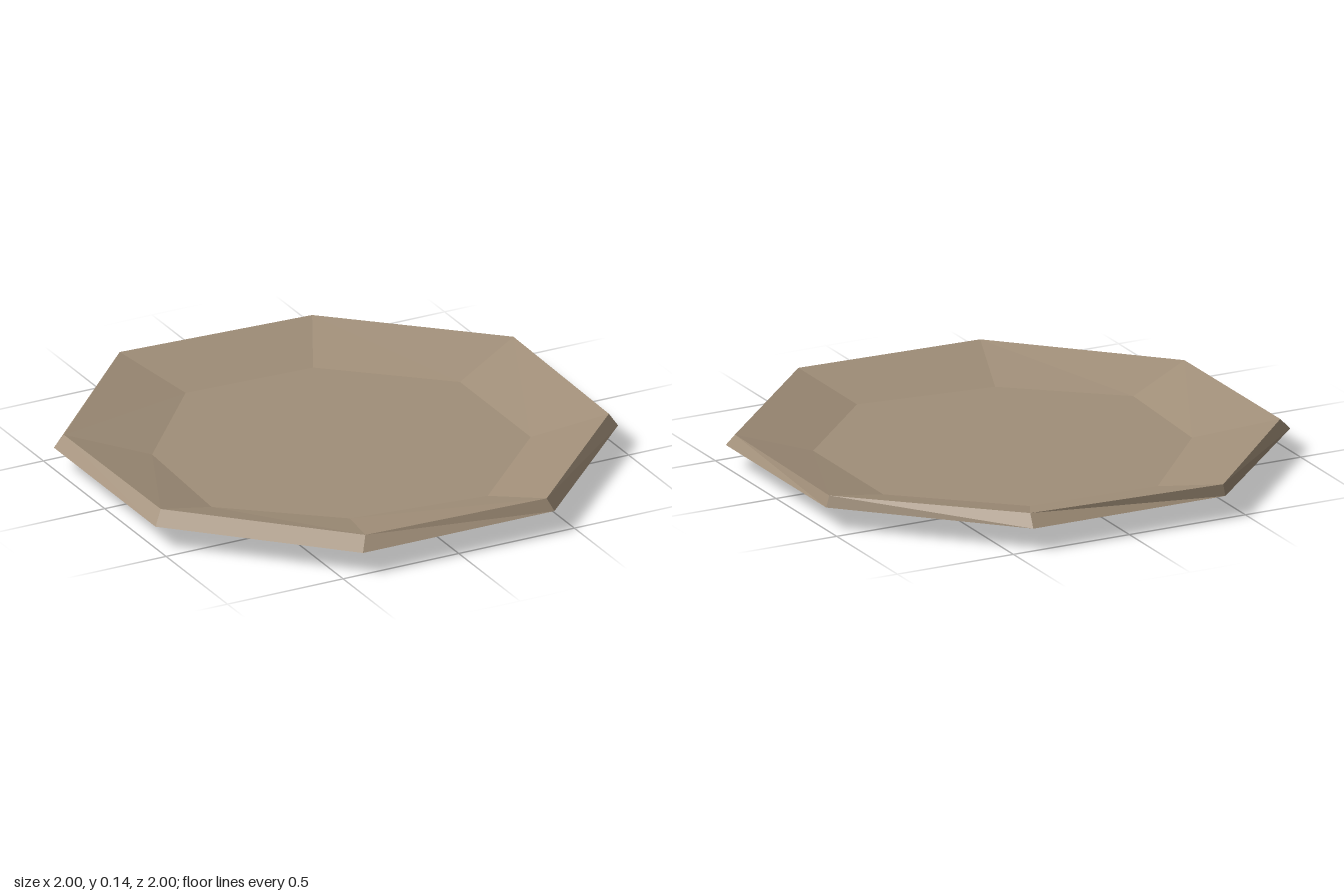
import * as THREE from 'three';

const clay = new THREE.MeshStandardMaterial({ color: 0xa18f79 });
clay.name = 'warm clay';

// Octagonal rings of [x, z] corners, all starting at the front-left corner
const octagon = (a, b) => [[a, b], [b, a], [-b, a], [-a, b], [-a, -b], [-b, -a], [b, -a], [a, -b]];
const ring = (y, corners) => corners.map(([x, z]) => new THREE.Vector3(x, y, z));

const foot = ring(0, octagon(0.7, 0.29));
const edge = ring(0.09, octagon(1, 0.414));
// The lip and floor are hand-cut, so slightly uneven
const lip = ring(0.135, [[0.973, 0.39], [0.396, 0.97], [-0.374, 0.944], [-0.952, 0.366],
  [-0.957, -0.414], [-0.41, -0.99], [0.4, -0.948], [0.985, -0.41]]);
const floor = ring(0.056, [[0.69, 0.286], [0.29, 0.69], [-0.273, 0.628], [-0.69, 0.286],
  [-0.663, -0.249], [-0.283, -0.692], [0.257, -0.671], [0.69, -0.29]]);

function part(name, points) {
  const geometry = new THREE.BufferGeometry().setFromPoints(points);
  geometry.computeVertexNormals(); // unshared corners give flat facets
  const mesh = new THREE.Mesh(geometry, clay);
  mesh.name = name;
  return mesh;
}

// Facets joining two rings
function band(name, a, b) {
  const points = [];
  a.forEach((p, i) => {
    const j = (i + 1) % a.length;
    points.push(p, b[i], b[j], p, b[j], a[j]);
  });
  return part(name, points);
}

// Flat fan closing a ring
function cap(name, r, up) {
  const points = [];
  for (let i = 1; i < r.length - 1; i++) {
    points.push(r[0], ...(up ? [r[i + 1], r[i]] : [r[i], r[i + 1]]));
  }
  return part(name, points);
}

export function createModel() {
  const plate = new THREE.Group();
  plate.name = 'plate';
  plate.add(
    cap('base', foot, false),
    band('underside', foot, edge),
    band('outerRim', edge, lip),
    band('innerWall', lip, floor),
    cap('plateFloor', floor, true),
  );
  return plate;
}
